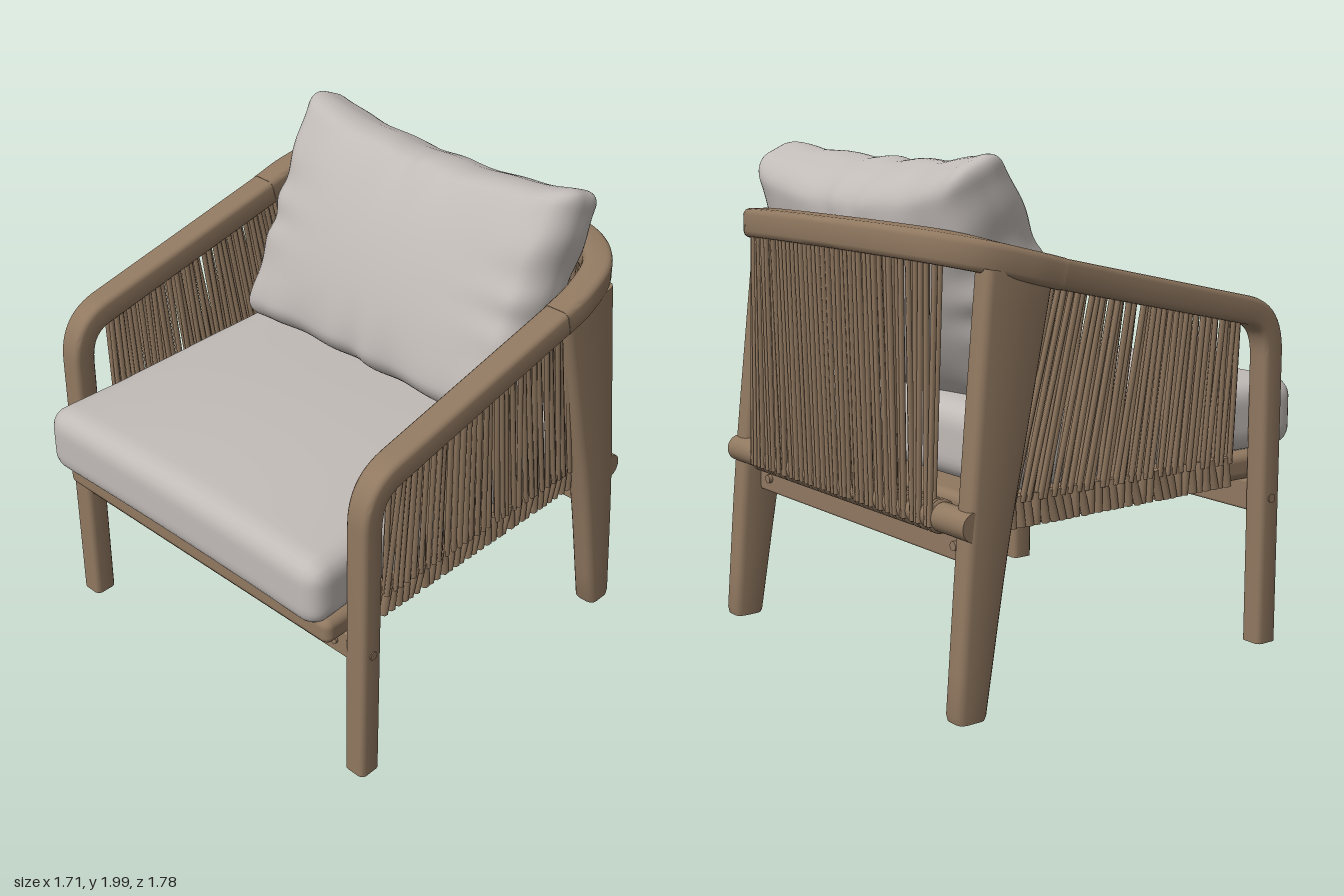
import * as THREE from 'three';
import { mergeGeometries, mergeVertices, toCreasedNormals } from 'three/addons/utils/BufferGeometryUtils.js';
import { RoundedBoxGeometry } from 'three/addons/geometries/RoundedBoxGeometry.js';

const V = (x, y, z) => new THREE.Vector3(x, y, z);
const clamp = THREE.MathUtils.clamp;
const lerp = THREE.MathUtils.lerp;

// small seeded random, -1..1
let seed = 7;
const rnd = () => {
  seed = (seed * 16807) % 2147483647;
  return (seed / 2147483647) * 2 - 1;
};

// sweep a rounded rectangle along points; w lies along ref, h across it
function sweep(pts, ref, w, h, round = 0.03) {
  const pos = [], idx = [], N = 16, last = pts.length - 1;
  pts.forEach((p, i) => {
    const T = pts[Math.min(i + 1, last)].clone().sub(pts[Math.max(i - 1, 0)]).normalize();
    const a = ref.clone().addScaledVector(T, -ref.dot(T)).normalize();
    const b = T.clone().cross(a);
    const W = w(i / last) / 2 - round, H = h(i / last) / 2 - round;
    for (let j = 0; j < N; j++) {
      const quad = Math.floor(j / 4), ang = (quad + (j % 4) / 3) * Math.PI / 2;
      const sx = quad === 0 || quad === 3 ? 1 : -1, sy = quad < 2 ? 1 : -1;
      const q = p.clone().addScaledVector(a, sx * W + Math.cos(ang) * round)
        .addScaledVector(b, sy * H + Math.sin(ang) * round);
      pos.push(q.x, q.y, q.z);
    }
  });
  for (let i = 0; i < last; i++) for (let j = 0; j < N; j++) {
    const k = (j + 1) % N, A = i * N + j, B = i * N + k;
    idx.push(A, B, B + N, A, B + N, A + N);
  }
  for (let j = 1; j < N - 1; j++) {
    idx.push(0, j + 1, j, last * N, last * N + j, last * N + j + 1);
  }
  const g = new THREE.BufferGeometry();
  g.setAttribute('position', new THREE.Float32BufferAttribute(pos, 3));
  g.setIndex(idx);
  return toCreasedNormals(g, 0.7);
}

// straight round strand between two points
function rod(a, b, r, sides = 6) {
  const d = b.clone().sub(a);
  const g = new THREE.CylinderGeometry(r, r, d.length(), sides);
  g.applyQuaternion(new THREE.Quaternion().setFromUnitVectors(V(0, 1, 0), d.normalize()));
  return g.translate((a.x + b.x) / 2, (a.y + b.y) / 2, (a.z + b.z) / 2);
}

// soft box: rounded edges, then every point reshaped by a rule
function softBox(w, h, d, r, segs, shape) {
  let g = new THREE.BoxGeometry(w, h, d, ...segs);
  g.deleteAttribute('uv');
  g.deleteAttribute('normal');
  g = mergeVertices(g);
  const p = g.attributes.position, v = V(0, 0, 0);
  for (let i = 0; i < p.count; i++) {
    v.fromBufferAttribute(p, i);
    const c = V(clamp(v.x, r - w / 2, w / 2 - r), clamp(v.y, r - h / 2, h / 2 - r), clamp(v.z, r - d / 2, d / 2 - r));
    v.sub(c).normalize().multiplyScalar(r).add(c);
    shape(v);
    p.setXYZ(i, v.x, v.y, v.z);
  }
  g.computeVertexNormals();
  return g;
}

export function createModel() {
  const model = new THREE.Group();
  const wood = new THREE.MeshStandardMaterial({ color: 0x907860 });
  wood.name = 'wood';
  const rope = new THREE.MeshStandardMaterial({ color: 0x8e765e });
  rope.name = 'rope';
  const fabric = new THREE.MeshStandardMaterial({ color: 0xc1bbb7 });
  fabric.name = 'fabric';
  const add = (name, geo, mat, x = 0, y = 0, z = 0) => {
    const m = new THREE.Mesh(geo, mat);
    m.name = name;
    m.position.set(x, y, z);
    model.add(m);
    return m;
  };
  const X = V(1, 0, 0), Y = V(0, 1, 0);
  // height of the arm's centre line
  const armY = z => z > -0.4 ? lerp(1.57, 1.365, (z + 0.4) / 0.93) : 1.57 + (-0.4 - z) * 0.265;

  for (const s of [1, -1]) {
    const side = s > 0 ? 'left' : 'right';

    // front leg bending into the sloping arm
    const bend = new THREE.CubicBezierCurve3(
      V(s * 0.8, 1.17, 0.67), V(s * 0.8, 1.29, 0.67), V(s * 0.8, 1.345, 0.62), V(s * 0.8, 1.365, 0.53)).getPoints(12);
    const arm = [V(s * 0.8, 0, 0.67), V(s * 0.8, 0.6, 0.67), ...bend, V(s * 0.797, armY(0), 0), V(s * 0.795, armY(-0.4), -0.4)];
    add(side + 'FrontLegAndArm', sweep(arm, X, t => 0.1 + 0.012 * t, t => 0.1 + 0.012 * t, 0.022), wood);

    // back leg, widening upwards from a flat foot
    const leg = new THREE.CatmullRomCurve3(
      [V(s * 0.8, 0.02, -0.8), V(s * 0.795, 0.64, -0.72), V(s * 0.785, 1.1, -0.645), V(s * 0.775, 1.58, -0.565)]).getPoints(12);
    leg.unshift(V(s * 0.8, 0, -0.8));
    add(side + 'BackLeg', sweep(leg, X, () => 0.1, t => lerp(0.12, 0.3, t), 0.03), wood);

    // bolts
    add(side + 'FrontBolt', rod(V(0, 0, -0.01), V(0, 0, 0.01), 0.018, 16), wood, s * 0.68, 0.6, 0.7);
    add(side + 'BackBolt', rod(V(0, 0, -0.01), V(0, 0, 0.01), 0.018, 16), wood, s * 0.66, 0.6, -0.745);
    add(side + 'LegBolt', rod(V(-0.005, 0, 0), V(0.005, 0, 0), 0.018, 16), wood, s * 0.85, 0.6, 0.67);

    // side ropes in an outer and an inner layer, fanning towards the back leg
    const strands = [];
    const n = 31;
    for (let i = 0; i < n; i++) {
      const t = i / (n - 1);
      const zb = lerp(0.505, -0.6, t), zt = lerp(0.505, -0.43, t);
      for (const [xt, xb, dz] of [[0.81, 0.77, 0], [0.768, 0.752, 0.008]]) {
        const z1 = zt + dz + rnd() * 0.012, z0 = zb + dz + rnd() * 0.01;
        strands.push(rod(V(s * xt, armY(z1) - 0.03, z1), V(s * xb, 0.75, z0), 0.0115));
      }
      // wrap round the seat frame
      const lean = 0.006 + rnd() * 0.012;
      strands.push(rod(V(s * 0.757, 0.775, zb - lean), V(s * 0.757, 0.655, zb + lean), 0.0185));
      strands.push(rod(V(s * 0.765, 0.664, zb + lean), V(s * 0.69, 0.657, zb + lean), 0.012));
    }
    add(side + 'Ropes', mergeGeometries(strands), rope);
  }

  // curved top rail
  const half = [[0.795, -0.39], [0.79, -0.53], [0.745, -0.69], [0.63, -0.785], [0.42, -0.822]];
  const railPts = [...half, [0, -0.835], ...half.map(([x, z]) => [-x, z]).reverse()];
  const rail = new THREE.CatmullRomCurve3(railPts.map(([x, z]) => V(x, armY(z), z)), false, 'centripetal').getPoints(60);
  add('backTopRail', sweep(rail, Y, () => 0.116, () => 0.116, 0.025), wood);

  // seat frame, aprons and lower back rail
  add('seatFrame', new RoundedBoxGeometry(1.5, 0.11, 1.5, 4, 0.035), wood, 0, 0.715, 0.06);
  add('frontApron', new RoundedBoxGeometry(1.52, 0.125, 0.07, 3, 0.012), wood, 0, 0.6, 0.665);
  add('backApron', new RoundedBoxGeometry(1.5, 0.12, 0.06, 3, 0.012), wood, 0, 0.6, -0.71);
  add('backLowerRail', rod(V(-0.84, 0, 0), V(0.84, 0, 0), 0.055, 20), wood, 0, 0.71, -0.785);

  // back ropes
  const strands = [];
  const n = 42;
  for (let i = 0; i < n; i++) {
    const x = lerp(-0.64, 0.64, i / (n - 1));
    const zr = -0.835 + 0.05 * Math.pow(Math.abs(x) / 0.64, 4);
    const x1 = x + rnd() * 0.01, x0 = x + rnd() * 0.012;
    strands.push(rod(V(x1, armY(zr) - 0.03, zr - 0.025), V(x0, 0.68, -0.838), 0.011));
    if (i % 2) strands.push(rod(V(x0, armY(zr) - 0.03, zr + 0.025), V(x1, 0.72, -0.795), 0.011));
    strands.push(new THREE.TorusGeometry(0.054, 0.011, 5, 14).rotateY(Math.PI / 2).translate(x0, 0.71, -0.785));
  }
  add('backRopes', mergeGeometries(strands), rope);

  // seat cushion with a gentle crown
  add('seatCushion', softBox(1.5, 0.29, 1.49, 0.085, [44, 12, 44], v => {
    const u = 1 - (v.x / 0.75) ** 2, q = 1 - (v.z / 0.745) ** 2;
    if (v.y > 0) v.y += 0.035 * u * q;
    v.x *= 1 + 0.022 * clamp((v.z - 0.4) / 0.3, 0, 1);
    if (v.z > 0) v.z -= 0.015 * u * clamp(v.z, 0, 1);
  }), fabric, 0, 0.915, 0.148);

  // plump back pillow with raised corners and creases near the seams
  const pillow = add('backPillow', softBox(1.43, 1, 0.22, 0.075, [72, 52, 10], v => {
    const u = clamp(v.x / 0.715, -1, 1), q = clamp(v.y / 0.5, -1, 1), f = v.z / 0.11;
    const bulge = Math.sqrt(Math.max(0, (1 - u * u) * (1 - q * q)));
    const crease = Math.sin(u * 17 + 1.3 * Math.sin(u * 7)) * q ** 4 * (1 - u * u)
      + Math.sin(q * 15 + Math.sin(q * 5)) * u ** 6 * (1 - q * q);
    v.z += f * (0.14 * bulge + 0.014 * crease);
    v.x *= 1 - 0.03 * (1 - q * q) + 0.006 * Math.sin(q * 13);
    // the top edge sags between its corners
    const sag = q > 0 ? 0.085 * (1 - u * u) - 0.06 * u ** 4 : 0.06 * (1 - u ** 4);
    v.y *= 1 - sag + 0.008 * Math.sin(u * 15) * (1 - u * u);
  }), fabric, -0.005, 1.5, -0.46);
  pillow.rotation.x = -0.43;

  return model;
}
